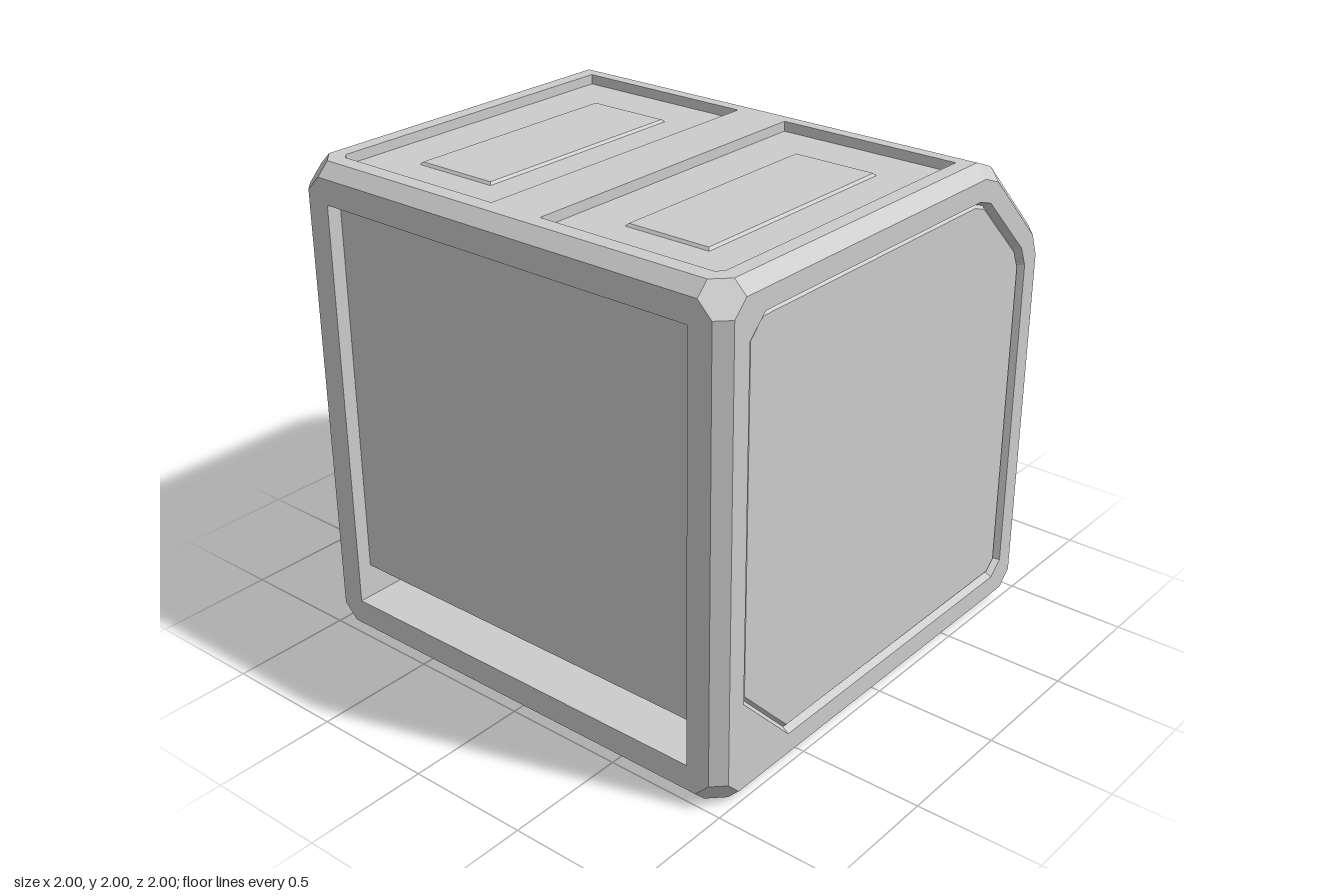
import * as THREE from 'three';

const grey = new THREE.MeshStandardMaterial({ color: 0xcccccc });
grey.name = 'light grey';

const rect = (x0, y0, x1, y1) => [[x0, y0], [x1, y0], [x1, y1], [x0, y1]];
const flipX = pts => pts.map(([x, y]) => [-x, y]);
const v2 = pts => {
  const v = pts.map(p => new THREE.Vector2(...p));
  return THREE.ShapeUtils.isClockWise(v) ? v.reverse() : v;
};

// Shrink an outline evenly
function inset(pts, d) {
  const v = v2(pts), n = v.length;
  const normal = (a, b) => new THREE.Vector2(a.y - b.y, b.x - a.x).normalize();
  return v.map((p, i) => {
    const n1 = normal(v[(i + n - 1) % n], p), n2 = normal(p, v[(i + 1) % n]);
    const k = d / (1 + n1.dot(n2));
    return [p.x + (n1.x + n2.x) * k, p.y + (n1.y + n2.y) * k];
  });
}

function flatGeometry(positions) {
  const g = new THREE.BufferGeometry();
  g.setAttribute('position', new THREE.Float32BufferAttribute(positions, 3));
  g.computeVertexNormals();
  return g;
}

// Panel: walls step through rings of [outline, height]; the last ring is
// filled, leaving openings for nested panels
function panel(rings, inner = [], out = []) {
  const loops = rings.map(([pts, z]) => v2(pts).map(p => [p.x, p.y, z]));
  for (let r = 0; r + 1 < loops.length; r++) {
    const A = loops[r], B = loops[r + 1];
    A.forEach((a, i) => {
      const j = (i + 1) % A.length;
      out.push(...a, ...A[j], ...B[j], ...a, ...B[j], ...B[i]);
    });
  }
  const [pts, z] = rings[rings.length - 1];
  const contour = v2(pts);
  const holes = inner.map(h => v2(h.rings[0][0]).reverse());
  const all = contour.concat(...holes);
  for (const tri of THREE.ShapeUtils.triangulateShape(contour, holes))
    for (const i of tri) out.push(all[i].x, all[i].y, z);
  inner.forEach(h => panel(h.rings, h.inner, out));
  return out;
}

// Body cross-sections as [z, y]: side face, bevel edge, inner corner edge
const curve = [[-1, 1.54], [-0.96, 1.64], [-0.64, 1.96], [-0.54, 2]];
const sideRing = [[0.89, 1.95], [0.95, 1.89], [0.95, 0.11], [0.89, 0.05], [-0.89, 0.05], [-0.95, 0.11],
  [-0.95, 1.53], [-0.915, 1.62], [-0.62, 1.915], [-0.53, 1.95]];
const bevelRing = [[0.89, 2], [1, 1.89], [1, 0.11], [0.89, 0], [-0.89, 0], [-1, 0.11], ...curve];
const cornerRing = [[0.95, 2], [1, 1.95], [1, 0.05], [0.95, 0], [-0.95, 0], [-1, 0.05], ...curve];

// Edge bevels and clipped corners
function bevelGeometry() {
  const out = [];
  const rings = [[1, sideRing], [0.95, bevelRing], [0.89, cornerRing],
    [-0.89, cornerRing], [-0.95, bevelRing], [-1, sideRing]];
  for (let r = 0; r < 5; r++) {
    const [xa, A] = rings[r], [xb, B] = rings[r + 1];
    for (let i = 0; i < 10; i++) {
      const outer = r === 0 || r === 4;
      if (!outer && ![0, 2, 4].includes(i)) continue;
      const j = (i + 1) % 10;
      const P = (x, [z, y]) => [x, y, z];
      const a = P(xa, A[i]), b = P(xa, A[j]), c = P(xb, B[j]), d = P(xb, B[i]);
      out.push(...a, ...d, ...c, ...a, ...c, ...b);
    }
  }
  return flatGeometry(out);
}

// Smooth slope joining back and top
function slopeGeometry() {
  const pos = [], nor = [], idx = [];
  curve.forEach(([z, y], i) => {
    const t = i * Math.PI / 6;
    for (const x of [0.95, -0.95]) {
      pos.push(x, y, z);
      nor.push(0, Math.sin(t), -Math.cos(t));
    }
    if (i < 3) {
      const a = i * 2;
      idx.push(a, a + 1, a + 3, a, a + 3, a + 2);
    }
  });
  const g = new THREE.BufferGeometry();
  g.setAttribute('position', new THREE.Float32BufferAttribute(pos, 3));
  g.setAttribute('normal', new THREE.Float32BufferAttribute(nor, 3));
  g.setIndex(idx);
  return g;
}

export function createModel() {
  const model = new THREE.Group();
  model.name = 'bevelledCube';
  const add = (name, geometry, pos = [0, 0, 0], rot = [0, 0, 0]) => {
    const m = new THREE.Mesh(geometry, grey);
    m.name = name;
    m.position.set(...pos);
    m.rotation.set(...rot);
    model.add(m);
  };
  const face = (name, outline, inner, pos, rot) =>
    add(name, flatGeometry(panel([[outline, 0]], inner)), pos, rot);
  const octagon = (y0, y1) => [[-0.89, y0], [0.89, y0], [0.95, y0 + 0.06], [0.95, y1 - 0.06],
    [0.89, y1], [-0.89, y1], [-0.95, y1 - 0.06], [-0.95, y0 + 0.06]];

  add('edgeBevels', bevelGeometry());
  add('backSlope', slopeGeometry());

  // Front: deep opening with a screen that leaves a slot below
  const opening = rect(-0.85, 0.155, 0.85, 1.85);
  face('frontFrame', octagon(0.05, 1.95), [{ rings: [[opening, 0], [opening, -0.4]] }], [0, 0, 1]);
  add('screen', new THREE.BoxGeometry(1.7, 1.555, 0.04), [0, 1.0725, 0.92]);

  // Back: two mirrored trapezoid recesses
  const trapezoid = [[0.84, 0.12], [0.87, 0.14], [0.87, 1.4], [0.39, 1.04], [0.39, 0.45]];
  const backOutline = [[-0.89, 0.05], [0.89, 0.05], [0.95, 0.11], [0.95, 1.54], [-0.95, 1.54], [-0.95, 0.11]];
  face('backFace', backOutline, [trapezoid, flipX(trapezoid)].map(t => ({ rings: [[t, 0], [t, -0.045]] })),
    [0, 0, -1], [0, Math.PI, 0]);

  // Top and bottom: paired recesses, each with a raised plate
  const recess = (outline, plate) => [p => p, flipX].map(f => ({
    rings: [[f(outline), 0], [f(outline), -0.04]],
    inner: [{ rings: [[f(plate), -0.04], [inset(f(plate), 0.009), -0.03]] }],
  }));
  const topRecess = [[0.115, -0.885], [0.865, -0.885], [0.89, -0.86], [0.89, 0.49], [0.115, 0.49]];
  const topOutline = [[-0.89, -0.95], [0.89, -0.95], [0.95, -0.89], [0.95, 0.54], [-0.95, 0.54], [-0.95, -0.89]];
  face('topFace', topOutline, recess(topRecess, rect(0.32, -0.685, 0.685, 0.285)),
    [0, 2, 0], [-Math.PI / 2, 0, 0]);
  const bottomRecess = [[0.115, -0.885], [0.865, -0.885], [0.89, -0.86], [0.89, 0.86], [0.865, 0.885], [0.115, 0.885]];
  face('bottomFace', octagon(-0.95, 0.95), recess(bottomRecess, rect(0.32, -0.685, 0.685, 0.685)),
    [0, 0, 0], [Math.PI / 2, 0, 0]);

  // Sides: grooved inset panels, mirrored
  const sidePanel = [[0.87, 0.41], [0.6, 0.135], [-0.81, 0.135], [-0.87, 0.19], [-0.87, 1.51],
    [-0.835, 1.59], [-0.575, 1.845], [-0.5, 1.87], [0.79, 1.87], [0.87, 1.79]];
  for (const [name, s] of [['leftFace', 1], ['rightFace', -1]]) {
    const f = s > 0 ? flipX : p => p;
    const p = f(sidePanel);
    face(name, f(sideRing), [{ rings: [[p, 0], [inset(p, 0.015), -0.03], [inset(p, 0.027), -0.018]] }],
      [s, 0, 0], [0, s * Math.PI / 2, 0]);
  }
  return model;
}
